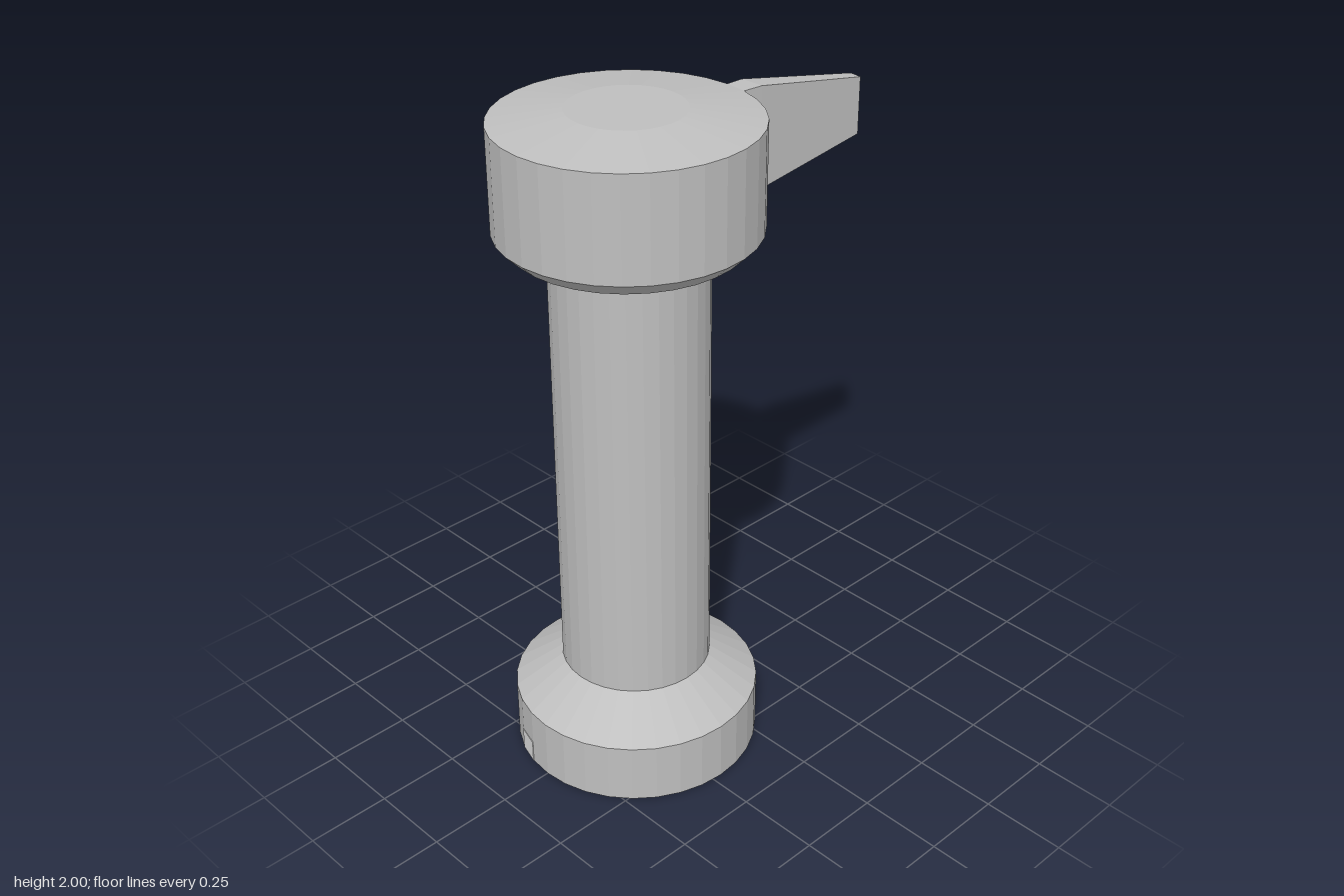
import * as THREE from 'three';

const SIDES = 32;
const AXIS_X = -0.22;
const RADIUS = 0.365;

// Bakes one normal per face so the facets stay visible.
function faceted(geometry) {
  const flat = geometry.toNonIndexed();
  flat.computeVertexNormals();
  return flat;
}

function addMesh(parent, name, geometry, material) {
  const mesh = new THREE.Mesh(geometry, material);
  mesh.name = name;
  parent.add(mesh);
  return mesh;
}

// Faceted solid of revolution from [radius, height] pairs, bottom to top.
function turned(profile) {
  const points = profile.map(([r, y]) => new THREE.Vector2(r, y));
  return faceted(new THREE.LatheGeometry(points, SIDES));
}

export function createModel() {
  const model = new THREE.Group();
  model.name = 'leverPost';

  const grey = new THREE.MeshStandardMaterial({ color: 0xbfbfbf });
  grey.name = 'grey';
  const lightGrey = new THREE.MeshStandardMaterial({ color: 0xdcdcdc });
  lightGrey.name = 'lightGrey';

  // Round parts share one vertical axis.
  const post = new THREE.Group();
  post.name = 'post';
  post.position.x = AXIS_X;
  model.add(post);

  addMesh(post, 'base', turned([[0, 0], [RADIUS, 0], [RADIUS, 0.185], [0.222, 0.285], [0, 0.285]]), grey);
  addMesh(post, 'column', turned([[0.222, 0.285], [0.222, 1.63]]), grey);
  addMesh(post, 'head', turned([
    [0, 1.63], [0.325, 1.63], [RADIUS, 1.67], [RADIUS, 1.97], [0.163, 2], [0, 2],
  ]), grey);

  // Small plate covering the foot of one facet of the base.
  const step = (Math.PI * 2) / SIDES;
  const plate = addMesh(post, 'basePlate', new THREE.BoxGeometry(0.07, 0.07, 0.004), lightGrey);
  const angle = -Math.PI / 2 - step * 1.5;
  const apothem = RADIUS * Math.cos(step / 2);
  plate.position.set(Math.sin(angle) * apothem, 0.036, Math.cos(angle) * apothem);
  plate.rotation.y = angle;

  // Lever: a box with three cross-sections, tapering and sweeping to the tip.
  const sections = [
    { x: [0.1, 0.1], z: [0, 0.068], y: [1.67, 1.97] },
    { x: [0.2, 0.2], z: [0.003, 0.077], y: [1.67, 1.97] },
    { x: [0.585, 0.58], z: [0.058, 0.098], y: [1.735, 1.905] },
  ];
  const lever = new THREE.BoxGeometry(2, 2, 2, 2, 1, 1);
  const p = lever.attributes.position;
  for (let i = 0; i < p.count; i++) {
    const s = sections[Math.round(p.getX(i)) + 1];
    const up = p.getY(i) > 0 ? 1 : 0;
    const front = p.getZ(i) > 0 ? 1 : 0;
    p.setXYZ(i, s.x[front], s.y[up], s.z[front]);
  }
  addMesh(model, 'lever', faceted(lever), grey);

  return model;
}
